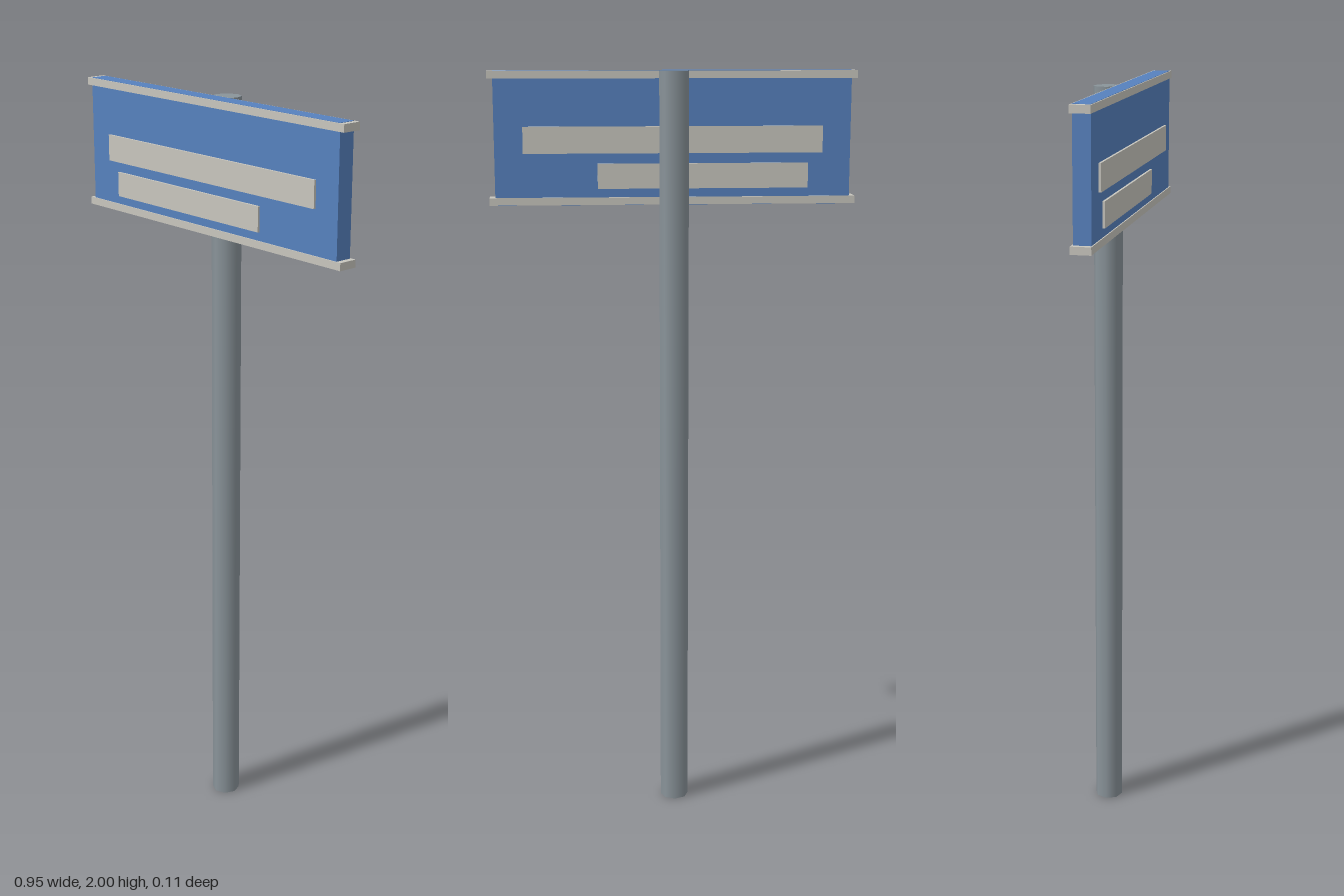
import * as THREE from 'three';

const material = (name, color) => {
  const m = new THREE.MeshStandardMaterial({ color });
  m.name = name;
  return m;
};

export function createModel() {
  const blue = material('panelBlue', 0x5681be);
  const pale = material('trimPale', 0xc8c6be);
  const grey = material('poleGrey', 0x8a949a);
  const group = new THREE.Group();
  group.name = 'streetSign';

  // Box given by its limits on each axis
  const box = (name, mat, [x0, x1], [y0, y1], [z0, z1]) => {
    const mesh = new THREE.Mesh(new THREE.BoxGeometry(x1 - x0, y1 - y0, z1 - z0), mat);
    mesh.position.set((x0 + x1) / 2, (y0 + y1) / 2, (z0 + z1) / 2);
    mesh.name = name;
    group.add(mesh);
  };

  // Eight-sided pole behind the panel
  const pole = new THREE.Mesh(new THREE.CylinderGeometry(0.038, 0.038, 1.999, 8), grey);
  pole.position.set(0, 0.9995, -0.018);
  pole.name = 'pole';
  group.add(pole);

  // Panel, its top and bottom showing between the rails' edges
  box('panel', blue, [-0.46, 0.46], [1.66, 2], [0.005, 0.049]);

  // Rails along the top and bottom
  box('topRail', pale, [-0.475, 0.475], [1.98, 1.9992], [0.001, 0.052]);
  box('bottomRail', pale, [-0.475, 0.475], [1.6608, 1.68], [0.001, 0.052]);

  // Raised bars passing through to both faces
  box('wideBar', pale, [-0.387, 0.387], [1.792, 1.86], [-0.001, 0.055]);
  box('narrowBar', pale, [-0.35, 0.196], [1.702, 1.766], [-0.001, 0.055]);

  return group;
}
